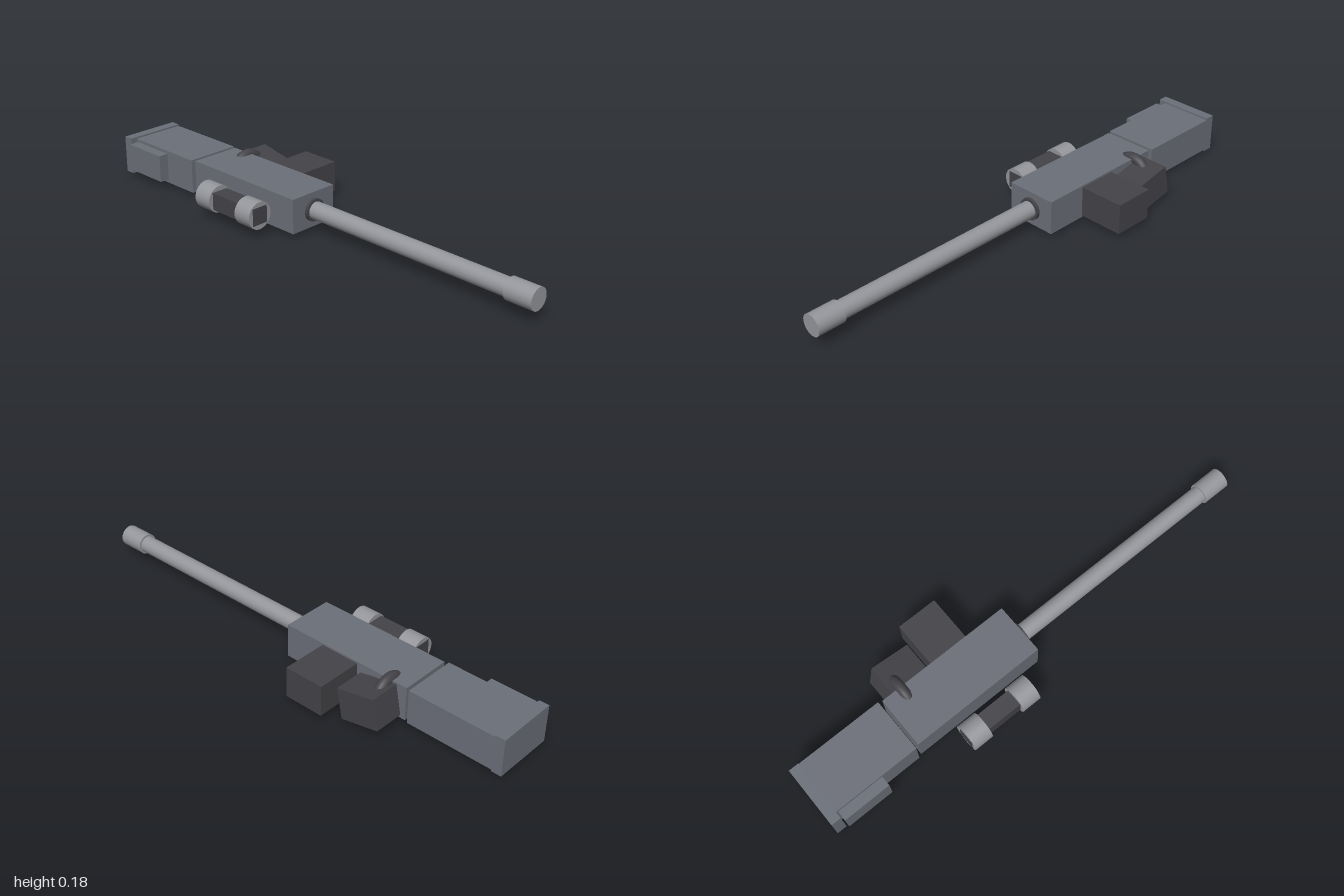
import * as THREE from 'three';

const AXIS_Y = 0.091; // common centre height of the parts

export function createModel() {
  const model = new THREE.Group();
  model.name = 'rifle';

  const paint = (name, color) => {
    const material = new THREE.MeshStandardMaterial({ color });
    material.name = name;
    return material;
  };
  const grey = paint('grey', 0x6b6f78);
  const steel = paint('lightSteel', 0x94969b);
  const dark = paint('darkGrey', 0x444348);

  const add = (name, geometry, material, x, y, z) => {
    const mesh = new THREE.Mesh(geometry, material);
    mesh.name = name;
    mesh.position.set(x, y, z);
    model.add(mesh);
    return mesh;
  };
  // Box given by its lower and upper limits on each axis
  const box = (name, material, [x0, x1], [y0, y1], [z0, z1]) =>
    add(name, new THREE.BoxGeometry(x1 - x0, y1 - y0, z1 - z0), material,
      (x0 + x1) / 2, (y0 + y1) / 2, (z0 + z1) / 2);
  // Cylinder lying along x
  const tube = (name, material, x0, x1, radius, z) =>
    add(name, new THREE.CylinderGeometry(radius, radius, x1 - x0, 32).rotateZ(-Math.PI / 2),
      material, (x0 + x1) / 2, AXIS_Y, z);

  // Receiver and stock, separated by a narrow gap
  box('receiver', grey, [-0.588, -0.027], [0.021, 0.161], [-0.077, 0.134]);
  box('stock', grey, [-0.98, -0.602], [0.021, 0.161], [-0.083, 0.141]);
  box('buttPlate', grey, [-1, -0.96], [0.014, 0.168], [-0.083, 0.17]);
  box('cheekRest', grey, [-0.953, -0.757], [0.036, 0.148], [0.1, 0.182]);

  // Barrel
  tube('barrel', steel, -0.06, 0.95, 0.035, 0.028);
  tube('muzzle', steel, 0.888, 1, 0.043, 0.028);
  tube('barrelCollar', dark, -0.06, -0.014, 0.045, 0.028);

  // Magazine, tilted grip and trigger guard
  box('magazine', dark, [-0.364, -0.199], [0.028, 0.154], [-0.266, -0.05]);
  const grip = add('grip', new THREE.BoxGeometry(0.165, 0.125, 0.208), dark, -0.474, 0.078, -0.098);
  grip.rotation.z = -0.2;
  add('triggerGuard', new THREE.TorusGeometry(0.067, 0.021, 16, 48).rotateY(Math.PI / 2),
    dark, -0.505, AXIS_Y, -0.07);

  // Sight: square body with a round housing at each end
  box('sightBody', dark, [-0.433, -0.125], [0.056, 0.126], [0.176, 0.246]);
  for (const [name, x] of [['rearSightHousing', -0.432], ['frontSightHousing', -0.206]]) {
    tube(name, steel, x, x + 0.08, 0.055, 0.211);
  }

  return model;
}
